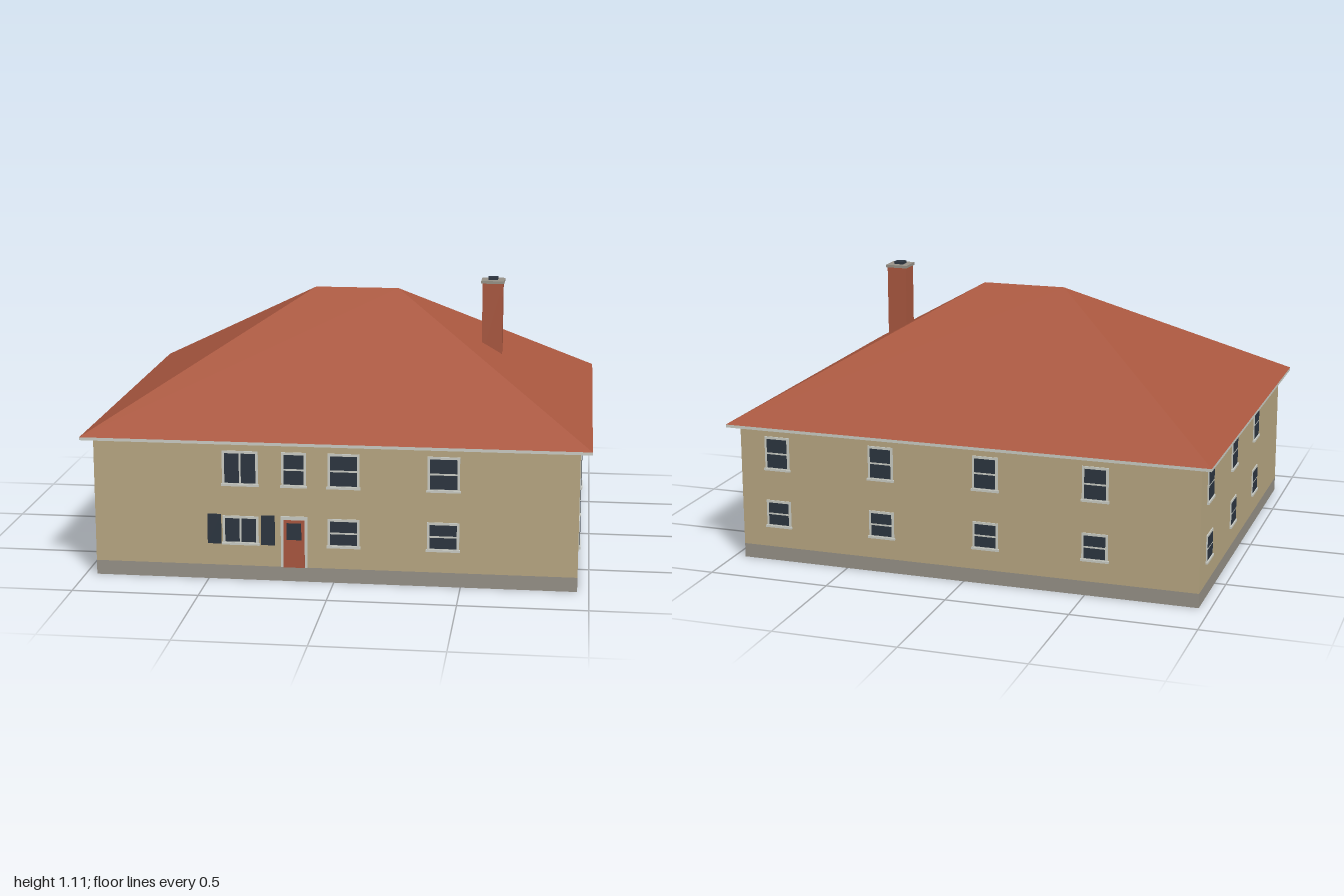
import * as THREE from 'three';

const material = (name, color) => {
  const m = new THREE.MeshStandardMaterial({ color });
  m.name = name;
  return m;
};

export function createModel() {
  const wall = material('tan render', 0xb8a782);
  const stone = material('grey stone', 0x969187);
  const red = material('red tile', 0xa9573f);
  const trim = material('pale trim', 0xcbcdc5);
  const dark = material('dark glass', 0x2c3540);

  const house = new THREE.Group();
  house.name = 'house';

  // Box given by its limits on each axis
  const box = (parent, name, mat, x0, x1, y0, y1, z0, z1) => {
    const mesh = new THREE.Mesh(new THREE.BoxGeometry(x1 - x0, y1 - y0, z1 - z0), mat);
    mesh.position.set((x0 + x1) / 2, (y0 + y1) / 2, (z0 + z1) / 2);
    mesh.name = name;
    parent.add(mesh);
    return mesh;
  };

  // Body
  const W = 0.955, D = 0.785, EAVE = 0.572;
  box(house, 'plinth', stone, -W, W, 0, 0.058, -D, D);
  box(house, 'walls', wall, -W, W, 0.058, 0.565, -D, D);
  box(house, 'eaves', trim, -1, 1, 0.56, EAVE, -0.825, 0.825);

  // Hipped roof: four eave corners and two ridge ends
  const a = [-1, EAVE, 0.825], b = [1, EAVE, 0.825], c = [1, EAVE, -0.825], d = [-1, EAVE, -0.825];
  const l = [-0.175, 1.05, 0], r = [0.175, 1.05, 0];
  const roofGeo = new THREE.BufferGeometry();
  roofGeo.setAttribute('position', new THREE.Float32BufferAttribute([
    a, b, r, a, r, l,
    b, c, r,
    c, d, l, c, l, r,
    d, a, l,
  ].flat(), 3));
  roofGeo.computeVertexNormals();
  const roof = new THREE.Mesh(roofGeo, red);
  roof.name = 'roof';
  house.add(roof);

  // Chimney
  const chimney = new THREE.Group();
  chimney.name = 'chimney';
  house.add(chimney);
  box(chimney, 'chimneyStack', red, 0.533, 0.617, 0.78, 1.092, -0.004, 0.08);
  box(chimney, 'chimneyCap', stone, 0.527, 0.623, 1.09, 1.101, -0.01, 0.086);
  box(chimney, 'flue', dark, 0.555, 0.595, 1.1, 1.112, 0.018, 0.058);

  // Facades: local x runs along the wall, local z points outward
  const facade = (name, turn, distance) => {
    const g = new THREE.Group();
    g.name = name;
    g.rotation.y = turn;
    g.position.set(Math.sin(turn) * distance, 0, Math.cos(turn) * distance);
    house.add(g);
    return g;
  };

  // Window with frame, two panes (stacked or side by side) and a sill
  const addWindow = (parent, x, w, y0, y1, sideBySide = false) => {
    const g = new THREE.Group();
    g.name = 'window';
    parent.add(g);
    const x0 = x - w / 2, x1 = x + w / 2, e = 0.01, h = 0.004;
    const mid = (y0 + y1) / 2;
    box(g, 'windowFrame', trim, x0, x1, y0, y1, 0, 0.004);
    if (sideBySide) {
      box(g, 'pane', dark, x0 + e, x - h, y0 + e, y1 - e, 0, 0.006);
      box(g, 'pane', dark, x + h, x1 - e, y0 + e, y1 - e, 0, 0.006);
    } else {
      box(g, 'pane', dark, x0 + e, x1 - e, y0 + e, mid - h, 0, 0.006);
      box(g, 'pane', dark, x0 + e, x1 - e, mid + h, y1 - e, 0, 0.006);
    }
    box(g, 'sill', trim, x0 - 0.004, x1 + 0.004, y0 - 0.003, y0 + 0.006, 0, 0.009);
  };

  const UP = [0.387, 0.526], LOW = [0.147, 0.262];

  // Front windows, door and shutters
  const front = facade('frontFacade', 0, D);
  for (const row of [UP, LOW]) {
    addWindow(front, -0.369, 0.143, ...row, true);
    addWindow(front, 0.04, 0.126, ...row);
    addWindow(front, 0.431, 0.126, ...row);
  }
  addWindow(front, -0.156, 0.098, ...UP);
  for (const x of [-0.474, -0.26]) {
    box(front, 'shutter', dark, x - 0.027, x + 0.027, 0.147, 0.267, 0, 0.007);
  }
  box(front, 'doorFrame', trim, -0.209, -0.103, 0.058, 0.267, 0, 0.004);
  box(front, 'door', red, -0.198, -0.114, 0.058, 0.252, 0, 0.006);
  box(front, 'doorGlass', dark, -0.185, -0.127, 0.172, 0.24, 0, 0.008);

  // Side and back windows
  const sides = [
    ['rightFacade', Math.PI / 2, W, [-0.626, -0.18, 0.268]],
    ['leftFacade', -Math.PI / 2, W, [-0.626, -0.18, 0.268]],
    ['backFacade', Math.PI, D, [-0.795, -0.346, 0.093, 0.54]],
  ];
  for (const [name, turn, distance, columns] of sides) {
    const g = facade(name, turn, distance);
    for (const x of columns) {
      addWindow(g, x, 0.106, ...UP);
      addWindow(g, x, 0.106, 0.145, 0.257);
    }
  }
  return house;
}
